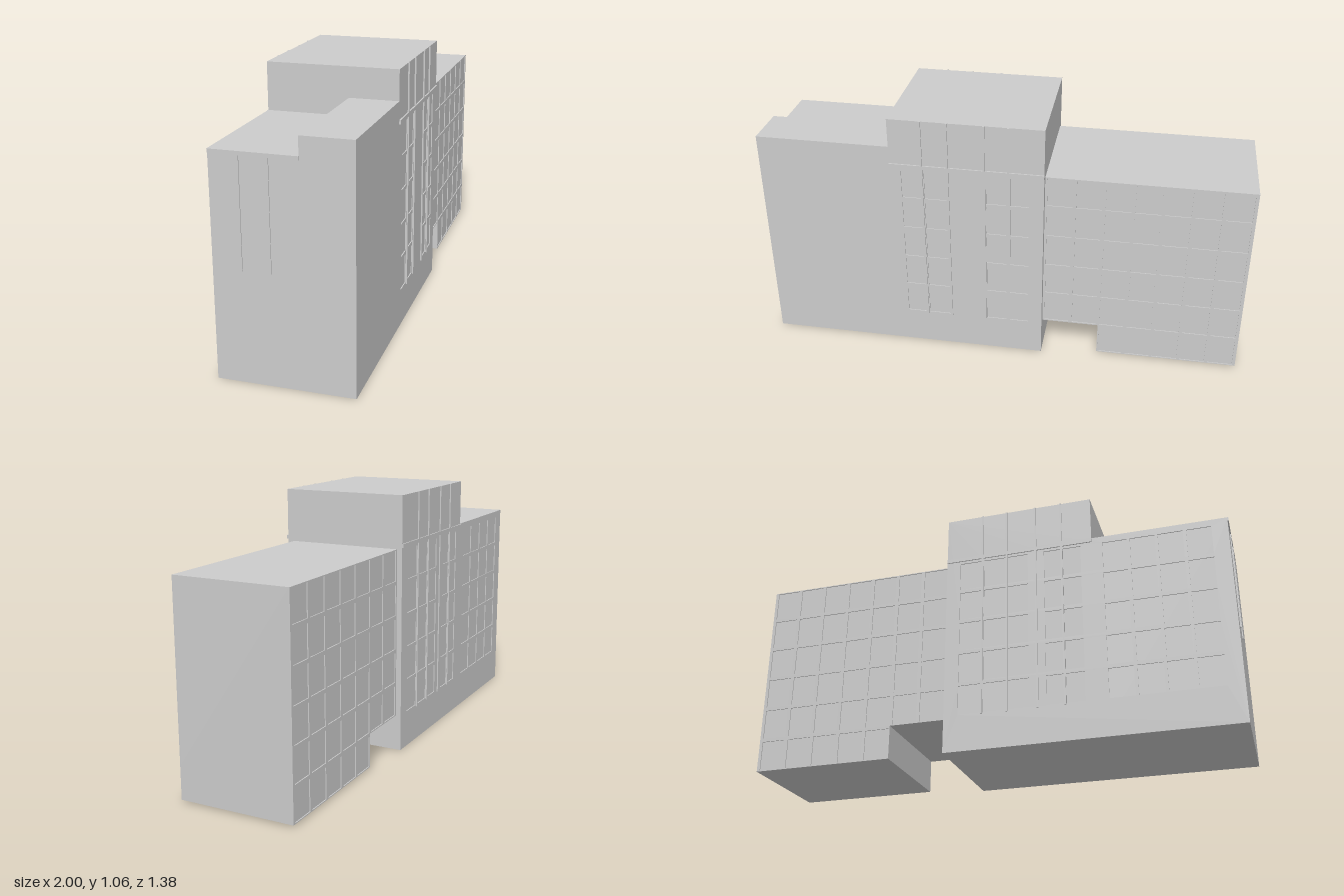
import * as THREE from 'three';

const material = new THREE.MeshStandardMaterial({ color: 0xcccccc, flatShading: true });
const REVEAL = 0.004; // depth of the window recesses
const ROW = 0.14;     // storey height

function add(parent, name, geometry) {
  const mesh = new THREE.Mesh(geometry, material);
  mesh.name = name;
  parent.add(mesh);
  return mesh;
}

// Box given by its extents along x, y and z
function block(parent, name, [x0, x1], [y0, y1], [z0, z1]) {
  const mesh = add(parent, name, new THREE.BoxGeometry(x1 - x0, y1 - y0, z1 - z0));
  mesh.position.set((x0 + x1) / 2, (y0 + y1) / 2, (z0 + z1) / 2);
}

// Thin wall panel with rectangular window openings
function facade(parent, name, outline, windows, z) {
  const shape = new THREE.Shape(outline.map(([x, y]) => new THREE.Vector2(x, y)));
  for (const [x0, x1, y0, y1] of windows) {
    shape.holes.push(new THREE.Path([[x0, y0], [x0, y1], [x1, y1], [x1, y0]].map(([x, y]) => new THREE.Vector2(x, y))));
  }
  const geometry = new THREE.ExtrudeGeometry(shape, { depth: REVEAL, bevelEnabled: false });
  add(parent, name, geometry).position.z = z;
}

// Repeat window columns over a number of storeys
function windowGrid(columns, firstRow, lastRow) {
  const list = [];
  for (let row = firstRow; row <= lastRow; row++) {
    for (const [x0, x1] of columns) list.push([x0, x1, 0.012 + row * ROW, 0.136 + row * ROW]);
  }
  return list;
}

function evenColumns(start, pitch, width, count) {
  return Array.from({ length: count }, (_, i) => [start + i * pitch, start + i * pitch + width]);
}

export function createModel() {
  const model = new THREE.Group();
  model.name = 'building';
  const body = new THREE.Group();
  body.name = 'rotatedBuilding';
  body.rotation.y = THREE.MathUtils.degToRad(27.9);
  model.add(body);

  const L = -0.985, T0 = -0.437, T1 = 0.187, R = 1.01;
  const back = -0.269, front = 0.254;
  const innerBack = back + REVEAL, innerFront = front - REVEAL;

  // Tall middle block and the stepped wing beside it
  block(body, 'towerCore', [T0, T1], [0, 1.055], [innerBack, innerFront]);
  block(body, 'endWingFront', [L, T0], [0, 0.935], [0.058, innerFront]);
  block(body, 'endWingBack', [L, T0], [0, 0.865], [innerBack, 0.058]);

  const frontColumns = [[-0.391, -0.312], [-0.297, -0.207], [-0.045, 0.036], [0.052, 0.128]];
  facade(body, 'mainFrontWall',
    [[L, 0], [T1, 0], [T1, 1.055], [T0, 1.055], [T0, 0.935], [L, 0.935]],
    windowGrid(frontColumns, 1, 5), innerFront);

  const backColumns = [
    ...evenColumns(-0.92, 0.113, 0.1, 4),
    [-0.39, -0.315], [-0.305, -0.235], [-0.166, -0.08], [-0.07, 0.023], [0.036, 0.128],
  ];
  facade(body, 'mainBackWall',
    [[L, 0], [T1, 0], [T1, 1.055], [T0, 1.055], [T0, 0.865], [L, 0.865]],
    windowGrid(backColumns, 1, 5), back);

  // Vertical fins and the ledge on both long sides of the tower
  const fins = new THREE.Group();
  fins.name = 'towerFins';
  body.add(fins);
  for (const x of [-0.305, -0.2, -0.052, 0.044]) {
    block(fins, 'frontFin', [x - 0.004, x + 0.004], [0.145, 1.055], [innerFront, front + 0.006]);
  }
  for (const x of [-0.31, -0.2, -0.075, 0.03]) {
    block(fins, 'backFin', [x - 0.004, x + 0.004], [0.145, 1.055], [back - 0.005, innerBack]);
  }
  block(body, 'frontLedge', [T0, T1], [0.847, 0.863], [innerFront, front + 0.006]);
  block(body, 'backLedge', [T0, T1], [0.847, 0.863], [back - 0.005, innerBack]);

  // Fins and ledge on the narrow end
  block(body, 'endLedge', [L - 0.004, L], [0.85, 0.865], [back, 0.058]);
  for (const z of [-0.16, -0.053]) {
    block(body, 'endFin', [L - 0.004, L], [0.43, 0.85], [z - 0.004, z + 0.004]);
  }

  // Long wing, raised over a passage next to the tower
  const passage = 0.424, wBack = -0.247, wFront = 0.225;
  const depth = [wBack + REVEAL, wFront - REVEAL];
  block(body, 'longWingUpper', [T1, R], [0.147, 0.84], depth);
  block(body, 'longWingGroundFloor', [passage, R], [0.008, 0.147], depth);
  const wingOutline = [[passage, 0.008], [R, 0.008], [R, 0.84], [T1, 0.84], [T1, 0.147], [passage, 0.147]];
  const columns = evenColumns(T1 + 0.009, 0.1165, 0.102, 7);
  const wingWindows = [...windowGrid(columns, 1, 5), ...windowGrid(columns.slice(2), 0, 0)];
  facade(body, 'longWingFrontWall', wingOutline, wingWindows, wFront - REVEAL);
  facade(body, 'longWingBackWall', wingOutline, wingWindows, wBack);

  return model;
}
